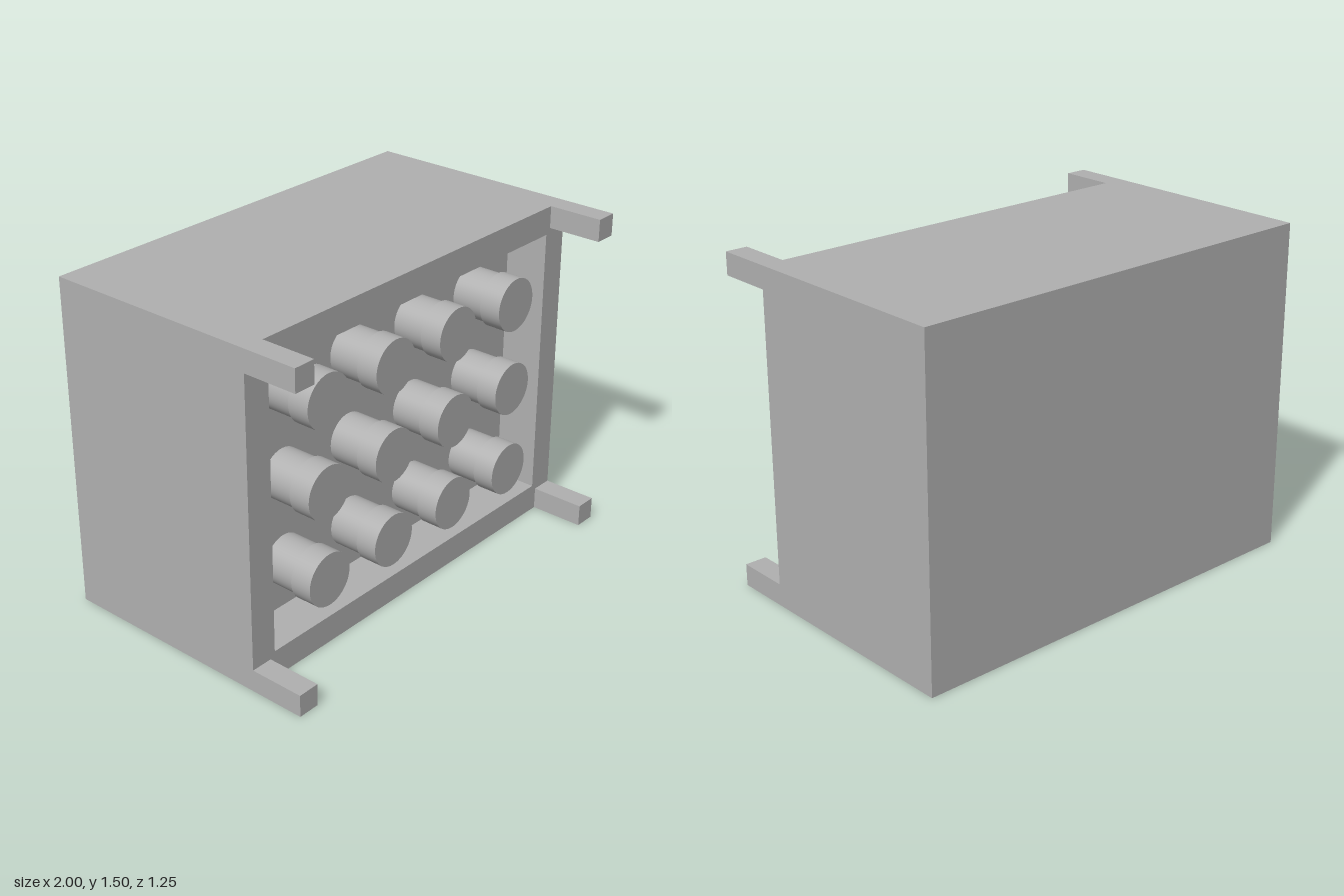
import * as THREE from 'three';

export function createModel() {
  const model = new THREE.Group();
  const grey = new THREE.MeshStandardMaterial({ color: 0xb0b0b0 });
  grey.name = 'plain grey';

  const add = (name, geometry, x, y, z, parent = model) => {
    const mesh = new THREE.Mesh(geometry, grey);
    mesh.name = name;
    mesh.position.set(x, y, z);
    parent.add(mesh);
    return mesh;
  };

  // Solid housing behind the recess
  add('housing', new THREE.BoxGeometry(2, 1.5, 0.8), 0, 0.75, -0.225);

  // Raised rim around the recessed panel
  const rim = new THREE.Shape([
    new THREE.Vector2(-1, 0), new THREE.Vector2(1, 0),
    new THREE.Vector2(1, 1.5), new THREE.Vector2(-1, 1.5),
  ]);
  rim.holes.push(new THREE.Path([
    new THREE.Vector2(-0.875, 0.125), new THREE.Vector2(-0.875, 1.375),
    new THREE.Vector2(0.875, 1.375), new THREE.Vector2(0.875, 0.125),
  ]));
  add('rim', new THREE.ExtrudeGeometry(rim, { depth: 0.2, bevelEnabled: false }), 0, 0, 0.175);

  // Square post at each front corner
  const post = new THREE.BoxGeometry(0.1, 0.1, 0.25);
  for (const x of [-0.95, 0.95]) {
    for (const y of [0.05, 1.45]) add('cornerPost', post, x, y, 0.5);
  }

  // Grid of round buttons, each a cap on a slightly slimmer stem
  const cap = new THREE.CylinderGeometry(0.12, 0.12, 0.1, 48).rotateX(Math.PI / 2);
  const stem = new THREE.CylinderGeometry(0.11, 0.11, 0.15, 48).rotateX(Math.PI / 2);
  for (const y of [0.35, 0.75, 1.15]) {
    for (const x of [-0.6, -0.2, 0.2, 0.6]) {
      const button = new THREE.Group();
      button.name = 'button';
      button.position.set(x, y, 0);
      add('buttonStem', stem, 0, 0, 0.25, button);
      add('buttonCap', cap, 0, 0, 0.375, button);
      model.add(button);
    }
  }

  return model;
}
